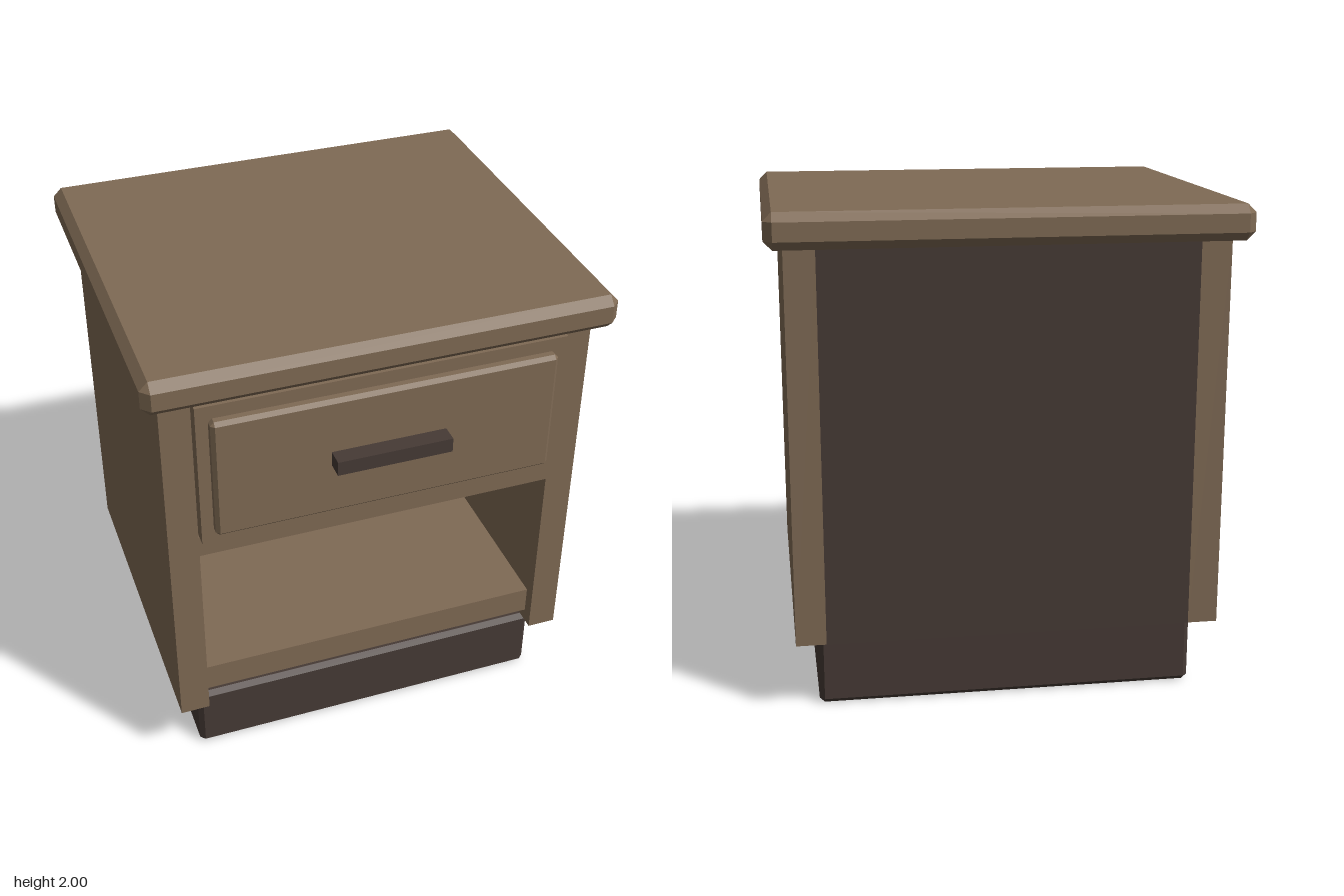
import * as THREE from 'three';
import { ConvexGeometry } from 'three/addons/geometries/ConvexGeometry.js';

const wood = new THREE.MeshStandardMaterial({ color: 0x7f6a54 });
wood.name = 'brown wood';
const dark = new THREE.MeshStandardMaterial({ color: 0x463a35 });
dark.name = 'dark wood';

// Box given by its extents [min, max] on each axis; a bevel chamfers every edge
function block(name, material, x, y, z, bevel = 0) {
  const size = [x, y, z].map(([a, b]) => b - a);
  let geometry;
  if (bevel) {
    const points = [];
    for (const sx of [-1, 1]) for (const sy of [-1, 1]) for (const sz of [-1, 1]) {
      for (let axis = 0; axis < 3; axis++) {
        // each corner becomes three points, one on each adjoining face
        const p = [sx, sy, sz].map((s, i) => s * (size[i] / 2 - (i === axis ? 0 : bevel)));
        points.push(new THREE.Vector3(...p));
      }
    }
    geometry = new ConvexGeometry(points);
  } else {
    geometry = new THREE.BoxGeometry(...size);
  }
  const mesh = new THREE.Mesh(geometry, material);
  mesh.name = name;
  mesh.position.set((x[0] + x[1]) / 2, (y[0] + y[1]) / 2, (z[0] + z[1]) / 2);
  return mesh;
}

export function createModel() {
  const group = new THREE.Group();
  group.name = 'nightstand';
  const inner = [-0.735, 0.735];

  // Plinth and overhanging top
  group.add(block('plinth', dark, [-0.765, 0.765], [0, 0.29], [-0.675, 0.61], 0.02));
  group.add(block('tabletop', wood, [-0.925, 0.925], [1.86, 2], [-0.84, 0.77], 0.034));

  // Carcass
  group.add(block('leftSide', wood, [0.735, 0.855], [0.29, 1.86], [-0.75, 0.68]));
  group.add(block('rightSide', wood, [-0.855, -0.735], [0.29, 1.86], [-0.75, 0.68]));
  group.add(block('backPanel', dark, inner, [0.29, 1.86], [-0.75, -0.67]));
  group.add(block('shelf', wood, inner, [0.345, 0.465], [-0.67, 0.63]));
  group.add(block('divider', wood, inner, [1.12, 1.21], [-0.67, 0.68]));

  // Drawer front with raised panel and bar handle
  const drawer = new THREE.Group();
  drawer.name = 'drawer';
  drawer.add(block('drawerFront', wood, [-0.733, 0.733], [1.22, 1.845], [0.67, 0.73]));
  drawer.add(block('raisedPanel', wood, [-0.685, 0.685], [1.27, 1.79], [0.71, 0.77], 0.015));
  drawer.add(block('handle', dark, [-0.23, 0.23], [1.5, 1.56], [0.765, 0.84]));
  group.add(drawer);

  return group;
}
